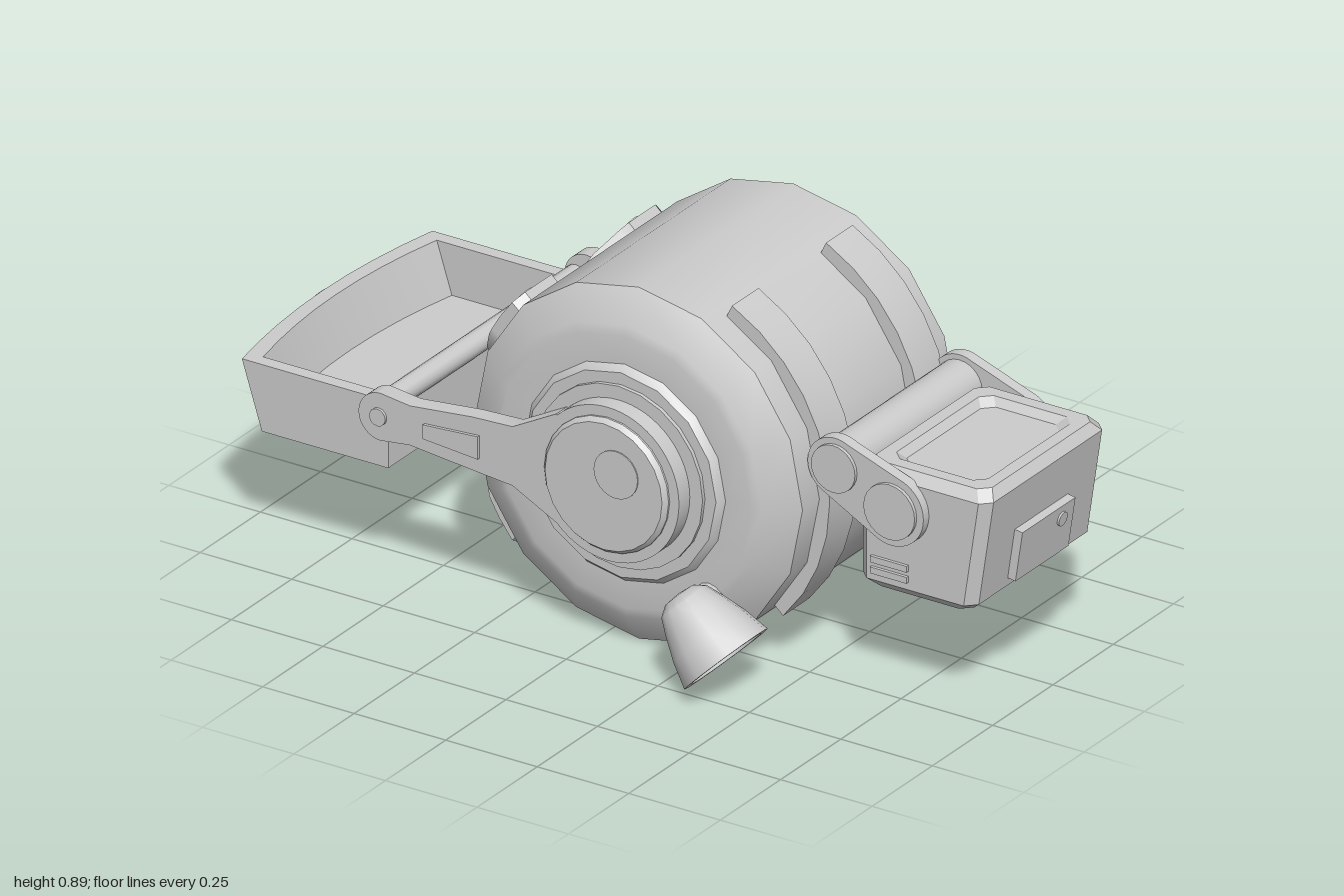
import * as THREE from 'three';
import { toCreasedNormals } from 'three/addons/utils/BufferGeometryUtils.js';

const CX = 0.08, CY = 0.46; // drum axis
const material = new THREE.MeshStandardMaterial({ color: 0xcccccc });

function add(parent, name, geometry, crease = 0.5) {
  const mesh = new THREE.Mesh(toCreasedNormals(geometry, crease), material);
  mesh.name = name;
  parent.add(mesh);
  return mesh;
}

// Skin over closed loops of points, with flat caps at both ends
function loft(rows) {
  const tris = [], n = rows[0].length;
  for (let i = 0; i < rows.length - 1; i++) {
    for (let j = 0; j < n; j++) {
      const k = (j + 1) % n;
      const a = rows[i][j], b = rows[i][k], c = rows[i + 1][k], d = rows[i + 1][j];
      tris.push([a, b, c], [a, c, d]);
    }
  }
  const first = rows[0], last = rows[rows.length - 1];
  for (let j = 1; j < n - 1; j++) {
    tris.push([first[0], first[j + 1], first[j]], [last[0], last[j], last[j + 1]]);
  }
  // Turn the faces outward when the enclosed volume is negative
  let volume = 0;
  const cross = new THREE.Vector3();
  for (const [a, b, c] of tris) volume += cross.crossVectors(b, c).dot(a);
  if (volume < 0) tris.forEach(t => t.reverse());
  return new THREE.BufferGeometry().setFromPoints(tris.flat());
}

// Cross-section of a plate lying on the drum at one angle (degrees)
function drumSection(deg, z0, z1, r1, r0 = 0.42) {
  const a = THREE.MathUtils.degToRad(deg);
  return [[r0, z0], [r1, z0], [r1, z1], [r0, z1]].map(([r, z]) =>
    new THREE.Vector3(CX + r * Math.cos(a), CY + r * Math.sin(a), z));
}

function lathe(points, sides) {
  return new THREE.LatheGeometry(points.map(p => new THREE.Vector2(...p)), sides);
}

// Cylinder along z between two depths
function rod(x, y, r, z0, z1, sides = 24) {
  return new THREE.CylinderGeometry(r, r, Math.abs(z1 - z0), sides)
    .rotateX(Math.PI / 2).translate(x, y, (z0 + z1) / 2);
}

function box(x, y, z, w, h, d) {
  return new THREE.BoxGeometry(w, h, d).translate(x, y, z);
}

// Extrude in z, centred on the given depth
function plate(shape, z, depth) {
  return new THREE.ExtrudeGeometry(shape, { depth, bevelEnabled: false, curveSegments: 24 })
    .translate(0, 0, z - depth / 2);
}

const polygon = pts => new THREE.Shape(pts.map(p => new THREE.Vector2(...p)));

function makeDrum() {
  const g = new THREE.Group();
  g.name = 'drum';
  const half = [[0.26, 0.395], [0.275, 0.378], [0.345, 0.378], [0.37, 0.372], [0.447, 0.32]];
  const profile = [[0, -0.395], ...half.map(([r, z]) => [r, -z]), ...half.slice().reverse(), [0, 0.395]];
  add(g, 'drumBody', lathe(profile, 16).rotateX(Math.PI / 2).translate(CX, CY, 0), 0.42);

  for (const s of [-1, 1]) {
    // Curved straps on the lamp side
    const strap = [];
    for (let i = 0; i <= 10; i++) strap.push(drumSection(-43 + i * 10.7, s * 0.14, s * 0.25, 0.475));
    add(g, 'strap', loft(strap));

    // Notched clasp plate: rows of angle, inner z, outer z
    const clasp = [[137, 0.16, 0.27], [140, 0.145, 0.3], [147, 0.09, 0.3], [152, 0.075, 0.3],
      [154, 0, 0.3], [160, 0, 0.28], [166, 0, 0.24], [180, 0, 0.24]];
    const mirrored = clasp.slice(0, -1).reverse().map(([a, i, o]) => [360 - a, i, o]);
    add(g, 'claspPlate', loft([...clasp, ...mirrored].map(([a, i, o]) => drumSection(a, s * i, s * o, 0.47))));

    for (const deg of [144, 216]) {
      const bolt = new THREE.CylinderGeometry(0.028, 0.028, 0.04, 14).rotateZ(-Math.PI / 2)
        .translate(0.455, 0, s * 0.22).rotateZ(THREE.MathUtils.degToRad(deg)).translate(CX, CY, 0);
      add(g, 'claspBolt', bolt);
    }
  }
  const button = lathe([[0, 0], [0.1, 0], [0.1, 0.045], [0.085, 0.06], [0.07, 0.055], [0, 0.055]], 20)
    .rotateZ(Math.PI / 2).translate(-0.365, CY, 0);
  add(g, 'claspButton', button);
  return g;
}

function makeArm(s) {
  const g = new THREE.Group();
  g.name = 'trayArm';
  const shape = new THREE.Shape();
  shape.moveTo(-0.18, 0.535);
  shape.lineTo(-0.06, 0.6);
  shape.absarc(CX, CY, 0.195, 2.36, -2.36, true);
  shape.lineTo(-0.18, 0.385);
  shape.lineTo(-0.29, 0.395);
  shape.lineTo(-0.46, 0.412);
  shape.absarc(-0.54, 0.462, 0.06, -Math.PI / 2, Math.PI / 2, true);
  shape.lineTo(-0.46, 0.512);
  shape.lineTo(-0.29, 0.53);
  add(g, 'armPlate', plate(shape, s * 0.427, 0.046));
  add(g, 'armInset', plate(polygon([[-0.42, 0.442], [-0.27, 0.43], [-0.27, 0.488], [-0.42, 0.478]]), s * 0.452, 0.012));
  add(g, 'armPin', rod(-0.545, 0.462, 0.022, s * 0.44, s * 0.457, 14));
  // Hub cap and its small offset disc
  add(g, 'hubCollar', rod(CX, CY, 0.23, s * 0.38, s * 0.405));
  const cap = lathe([[0, 0], [0.17, 0], [0.17, 0.055], [0.16, 0.067], [0, 0.067]], 24)
    .rotateX(s * Math.PI / 2).translate(CX, CY, s * 0.4);
  add(g, 'hubCap', cap);
  add(g, 'hubDisc', rod(0.115, 0.5, 0.06, s * 0.46, s * 0.47));
  return g;
}

function makeTray() {
  const g = new THREE.Group();
  g.name = 'tray';
  const outline = (x, z, bow, inner) => {
    const pts = [[inner, -z], [inner, z]];
    for (let i = 0; i <= 8; i++) {
      const t = 1 - i / 4;
      pts.push([x - bow * (1 - t * t), t * z]);
    }
    return pts;
  };
  // Shape drawn in x and z, raised in y, the bowed wall leaning outward
  const raise = (shape, y, h) => {
    const geo = new THREE.ExtrudeGeometry(shape, { depth: h, bevelEnabled: false })
      .rotateX(-Math.PI / 2).translate(0, y, 0);
    const p = geo.attributes.position;
    for (let i = 0; i < p.count; i++) {
      if (p.getX(i) < -0.8) p.setX(i, p.getX(i) + (0.475 - p.getY(i)) * 0.32);
    }
    return geo;
  };
  const walls = polygon(outline(-0.955, 0.395, 0.04, -0.555));
  walls.holes.push(polygon(outline(-0.92, 0.36, 0.038, -0.585)));
  add(g, 'trayWalls', raise(walls, 0.305, 0.17));
  add(g, 'trayFloor', raise(polygon(outline(-0.95, 0.39, 0.04, -0.56)), 0.306, 0.04));
  add(g, 'trayRib', box(-0.97, 0.39, 0, 0.014, 0.17, 0.035).applyMatrix4(
    new THREE.Matrix4().makeTranslation(-0.97, 0.39, 0)
      .multiply(new THREE.Matrix4().makeRotationZ(0.31))
      .multiply(new THREE.Matrix4().makeTranslation(0.97, -0.39, 0))));
  add(g, 'trayBar', rod(-0.57, 0.462, 0.028, -0.44, 0.44, 16));
  return g;
}

function makeLampBox() {
  const g = new THREE.Group();
  g.name = 'lampBox';
  // Chamfered rectangle at height y; its outer end leans outward towards the top
  const ring = (y, inset) => {
    const x0 = 0.63 + inset, x1 = 0.99 - inset - (0.59 - y) * 0.15, z = 0.25 - inset, c = 0.025;
    return [[x0 + c, -z], [x1 - c, -z], [x1, -z + c], [x1, z - c], [x1 - c, z], [x0 + c, z], [x0, z - c], [x0, -z + c]]
      .map(([a, b]) => new THREE.Vector3(a, y, b));
  };
  add(g, 'lampHousing', loft([ring(0.27, 0.025), ring(0.295, 0), ring(0.565, 0), ring(0.59, 0.022),
    ring(0.59, 0.055), ring(0.572, 0.072)]), 0.3);
  const front = new THREE.Group();
  front.name = 'lampFront';
  front.position.set(0.965, 0.38, 0);
  front.rotation.z = -0.149;
  add(front, 'lampPanel', box(0, 0, 0, 0.03, 0.13, 0.22));
  add(front, 'lampKnob', new THREE.CylinderGeometry(0.018, 0.018, 0.04, 16).rotateZ(Math.PI / 2).translate(0, 0.03, -0.06));
  g.add(front);

  const [ax, ay, bx, by] = [0.585, 0.565, 0.738, 0.497];
  add(g, 'hingeBar', rod(ax, ay, 0.062, -0.26, 0.26));
  for (const s of [-1, 1]) {
    // Rounded link between hinge bar and housing
    const t = Math.atan2(by - ay, bx - ax), link = new THREE.Shape();
    link.absarc(ax, ay, 0.075, t + Math.PI / 2, t + Math.PI * 1.5, false);
    link.absarc(bx, by, 0.088, t - Math.PI / 2, t + Math.PI / 2, false);
    add(g, 'hingeLink', plate(link, s * 0.258, 0.03));
    add(g, 'hingeDisc', rod(ax, ay, 0.06, s * 0.26, s * 0.282));
    add(g, 'hingeDisc', rod(bx, by, 0.07, s * 0.26, s * 0.282));
    for (const y of [0.322, 0.35]) add(g, 'ventSlat', box(0.72, y, s * 0.25, 0.1, 0.016, 0.016));
  }
  return g;
}

function makeNozzle(s) {
  const g = new THREE.Group();
  g.name = 'nozzle';
  const bell = lathe([[0, 0], [0.04, 0.004], [0.064, 0.022], [0.08, 0.06], [0.102, 0.12], [0.118, 0.185],
    [0.1, 0.185], [0.085, 0.13], [0.07, 0.08], [0, 0.08]], 16);
  add(g, 'nozzleBell', bell.rotateZ(-Math.PI * 0.75).translate(0.275, 0.235, s * 0.453), 0.6);
  add(g, 'nozzleMount', rod(0.31, 0.2, 0.04, s * 0.36, s * 0.42, 12));
  return g;
}

export function createModel() {
  const model = new THREE.Group();
  model.name = 'model';
  model.add(makeDrum(), makeTray(), makeLampBox());
  for (const s of [-1, 1]) model.add(makeArm(s), makeNozzle(s));
  return model;
}
